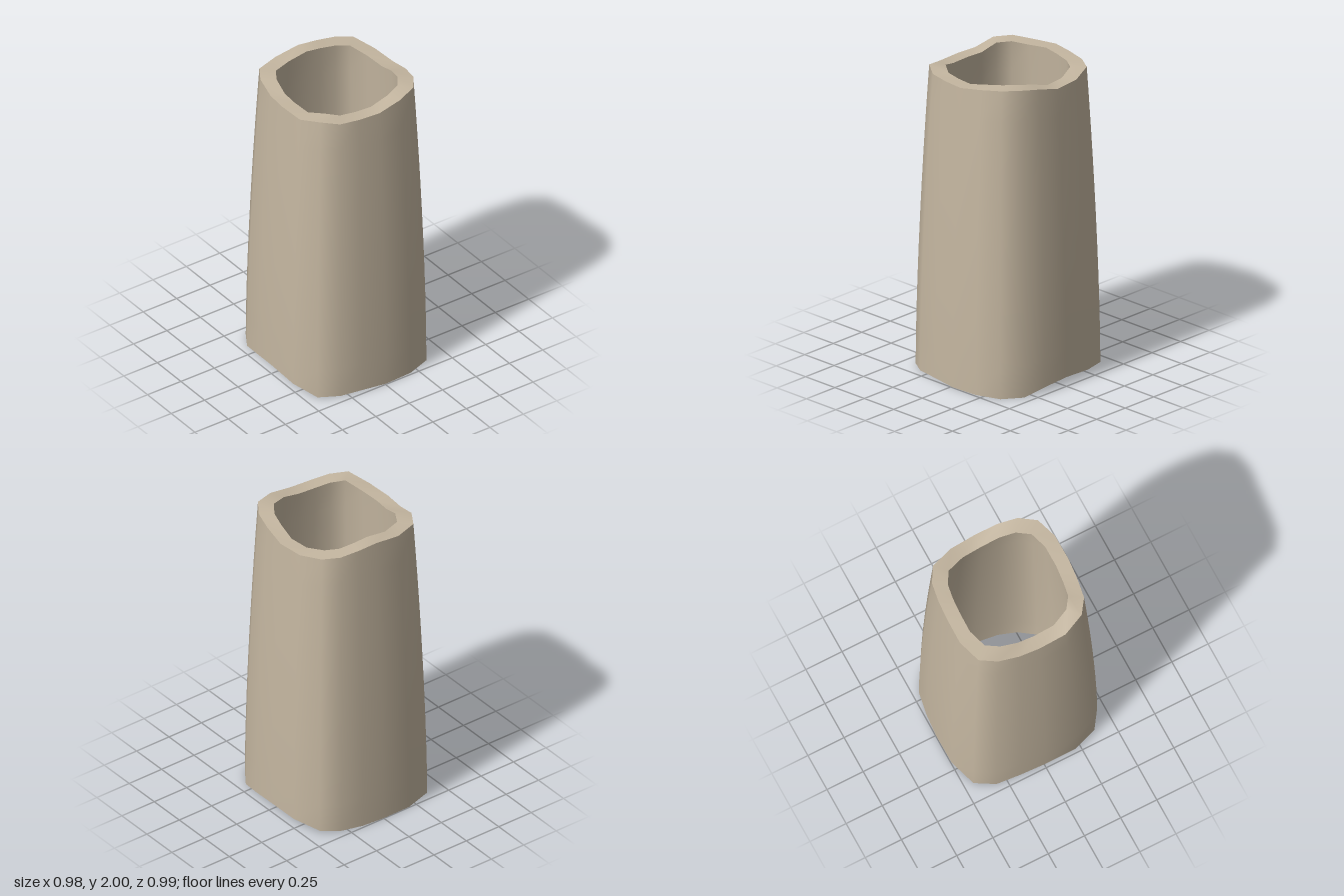
import * as THREE from 'three';

// Rounded-square footprint as x, z, base height, rim height
const footprint = [
  [-0.20, -0.495, 0, 1.975], [0, -0.497, 0, 1.995], [0.15, -0.485, 0, 1.985], [0.295, -0.46, 0.01, 1.975],
  [0.41, -0.39, 0.02, 1.97], [0.475, -0.215, 0.04, 1.945], [0.49, -0.01, 0.055, 1.94], [0.475, 0.165, 0.035, 1.975],
  [0.44, 0.31, 0, 1.995], [0.355, 0.43, 0, 2], [0.20, 0.485, 0, 1.985], [0.01, 0.495, 0, 1.955],
  [-0.155, 0.48, 0.01, 1.955], [-0.305, 0.455, 0.01, 1.96], [-0.42, 0.375, 0, 1.975], [-0.485, 0.21, 0.035, 1.94],
  [-0.493, 0, 0.055, 1.94], [-0.48, -0.16, 0.04, 1.94], [-0.455, -0.32, 0.01, 1.975], [-0.38, -0.44, 0, 1.975],
];
const STEPS = 10;
const WALL = 0.178; // wall thickness as a share of the footprint

// Cross-section at height fraction t, shrunk by inset; narrows towards the top
function ring(t, inset) {
  const s = 1 - 0.147 * Math.pow(t, 1.6) - inset;
  return footprint.map(([x, z, low, high]) => [x * s, low + (high - low) * t, z * s]);
}

// Smooth surface through a list of closed rings
function skin(rings) {
  const n = footprint.length;
  const index = [];
  for (let r = 0; r < rings.length - 1; r++) {
    for (let i = 0; i < n; i++) {
      const a = r * n + i, b = r * n + (i + 1) % n;
      index.push(b, a, a + n, b, a + n, b + n);
    }
  }
  const geometry = new THREE.BufferGeometry();
  geometry.setAttribute('position', new THREE.Float32BufferAttribute(rings.flat(2), 3));
  geometry.setIndex(index);
  geometry.computeVertexNormals();
  return geometry;
}

export function createModel() {
  const group = new THREE.Group();
  group.name = 'hollowColumn';
  const stone = new THREE.MeshStandardMaterial({ color: 0xc4b6a0 });
  stone.name = 'warm stone';

  const outer = [], inner = [];
  for (let k = 0; k <= STEPS; k++) {
    outer.push(ring(k / STEPS, 0));
    inner.push(ring(1 - k / STEPS, WALL));
  }
  const parts = {
    outerWall: outer,
    topRim: [ring(1, 0), ring(1, WALL)],
    innerWall: inner,
    bottomRim: [ring(0, WALL), ring(0, 0)],
  };
  for (const [name, rings] of Object.entries(parts)) {
    const mesh = new THREE.Mesh(skin(rings), stone);
    mesh.name = name;
    group.add(mesh);
  }
  return group;
}
